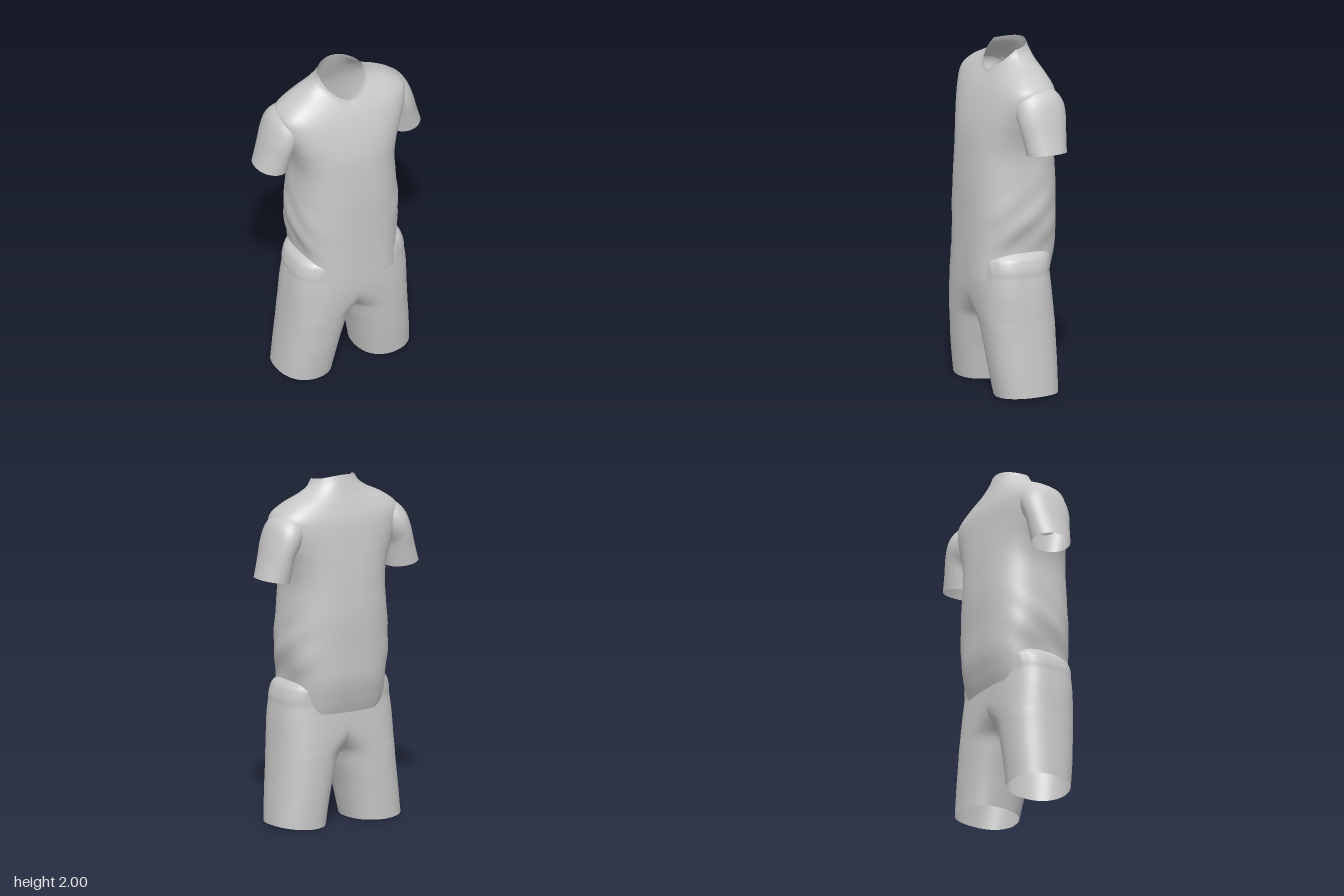
import * as THREE from 'three';

const cloth = new THREE.MeshStandardMaterial({ color: 0xc8c8c8, side: THREE.DoubleSide });
cloth.name = 'grey cloth';

// Smooth interpolation through rows of numbers, v from 0 to 1
function sampleRows(rows, v) {
  const f = v * (rows.length - 1);
  const i = Math.min(Math.floor(f), rows.length - 2);
  const t = f - i;
  const p1 = rows[i], p2 = rows[i + 1];
  const p0 = rows[i - 1] || p1, p3 = rows[i + 2] || p2;
  return p1.map((b, k) => {
    const a = p0[k], c = p2[k], d = p3[k];
    return b + 0.5 * t * (c - a + t * (2 * a - 5 * b + 4 * c - d + t * (3 * (b - c) + d - a)));
  });
}

// Signed power, for superellipse outlines
const spow = (x, p) => Math.sign(x) * Math.abs(x) ** p;

// Sheet of cloth from rings: u runs around, v runs upwards
function sheet(name, nu, nv, closed, mirror, point) {
  const cols = closed ? nu : nu + 1, pos = [], idx = [];
  for (let j = 0; j <= nv; j++) {
    for (let i = 0; i < cols; i++) {
      const [x, y, z] = point(i / nu, j / nv);
      pos.push(mirror ? -x : x, y, z);
    }
  }
  for (let j = 0; j < nv; j++) {
    for (let i = 0; i < nu; i++) {
      const a = j * cols + i, b = j * cols + (i + 1) % cols, c = a + cols, d = b + cols;
      if (mirror) idx.push(a, b, c, b, d, c);
      else idx.push(a, c, b, b, c, d);
    }
  }
  const g = new THREE.BufferGeometry();
  g.setAttribute('position', new THREE.Float32BufferAttribute(pos, 3));
  g.setIndex(idx);
  g.computeVertexNormals();
  const mesh = new THREE.Mesh(g, cloth);
  mesh.name = name;
  return mesh;
}

// half width, front z, back z, front y, side y, back y, squareness, V-neck amount
const torsoRows = [
  [0.28, 0.26, -0.20, 0.675, 0.66, 0.65, 3.2, 0],
  [0.285, 0.26, -0.225, 0.75, 0.75, 0.73, 3.1, 0],
  [0.292, 0.26, -0.25, 0.86, 0.86, 0.85, 2.9, 0],
  [0.318, 0.26, -0.255, 1.02, 1.02, 1.02, 2.6, 0],
  [0.308, 0.26, -0.26, 1.2, 1.2, 1.2, 2.5, 0],
  [0.295, 0.25, -0.25, 1.38, 1.38, 1.38, 2.6, 0],
  [0.315, 0.238, -0.24, 1.5, 1.5, 1.5, 2.6, 0],
  [0.35, 0.215, -0.228, 1.6, 1.6, 1.6, 2.7, 0],
  [0.385, 0.185, -0.215, 1.69, 1.7, 1.7, 2.8, 0],
  [0.387, 0.16, -0.2, 1.75, 1.785, 1.77, 2.8, 0.1],
  [0.31, 0.142, -0.175, 1.785, 1.85, 1.84, 2.7, 0.3],
  [0.21, 0.127, -0.152, 1.81, 1.90, 1.90, 2.4, 0.6],
  [0.155, 0.115, -0.132, 1.828, 1.94, 1.96, 2.1, 0.9],
  [0.135, 0.11, -0.12, 1.84, 1.975, 2.0, 2, 1],
];

function torsoPoint(u, v) {
  const [w, zf, zb, yf, ys, yb, n, vee] = sampleRows(torsoRows, v);
  const a = u * Math.PI * 2, c = Math.cos(a), s = Math.sin(a);
  const mid = (zf + zb) / 2, half = (zf - zb) / 2;
  const round = s * s, sharp = 0.7 * s + 0.3 * (1 - Math.abs(c));
  const k = s > 0 ? round + (sharp - round) * vee : round;
  const y = ys + ((s > 0 ? yf : yb) - ys) * k;
  const z = mid + half * spow(s, 2 / n);
  // soft slanting drape folds at the waist sides
  const fold = 0.005 * Math.exp(-(((y - 1.0) / 0.18) ** 2)) * Math.sin(32 * (y + 0.8 * z)) * Math.abs(c);
  return [(w + fold) * spow(c, 2 / n), y, z];
}

// inner x, inner y, outer x, outer y, front z, back z
const sleeveRows = [
  [0.335, 1.422, 0.52, 1.452, 0.065, -0.168],
  [0.325, 1.5, 0.487, 1.56, 0.08, -0.178],
  [0.315, 1.56, 0.459, 1.66, 0.095, -0.188],
  [0.29, 1.60, 0.425, 1.745, 0.1, -0.192],
  [0.27, 1.63, 0.375, 1.795, 0.095, -0.18],
  [0.25, 1.65, 0.31, 1.82, 0.075, -0.155],
];

function sleevePoint(u, v) {
  const [xi, yi, xo, yo, zf, zb] = sampleRows(sleeveRows, v);
  const a = u * Math.PI * 2, k = (1 + Math.cos(a)) / 2;
  return [xi + (xo - xi) * k, yi + (yo - yi) * k, (zf + zb) / 2 + (zf - zb) / 2 * spow(Math.sin(a), 0.9)];
}

// y, inner x, outer x, front z, back z, squareness; a negative inner x means the halves join
const shortsRows = [
  [0.0, 0.088, 0.41, 0.17, -0.19, 2.3],
  [0.10, 0.07, 0.402, 0.186, -0.192, 2.3],
  [0.20, 0.05, 0.393, 0.2, -0.194, 2.3],
  [0.30, 0.024, 0.384, 0.211, -0.195, 2.3],
  [0.39, 0.0, 0.377, 0.22, -0.195, 2.35],
  [0.44, -0.04, 0.373, 0.225, -0.195, 2.4],
  [0.51, -0.13, 0.368, 0.232, -0.195, 2.6],
  [0.60, -0.27, 0.36, 0.239, -0.193, 2.9],
  [0.70, -0.347, 0.347, 0.24, -0.19, 3],
  [0.78, -0.332, 0.332, 0.236, -0.195, 3],
  [0.815, -0.308, 0.308, 0.222, -0.195, 2.8],
  [0.84, -0.28, 0.28, 0.2, -0.185, 2.6],
];

function shortsPoint(u, v) {
  const [y, xi, xo, zf, zb, n] = sampleRows(shortsRows, v);
  const mid = Math.max(0, (xi + xo) / 2), half = (xo - xi) / 2;
  // stop the outline at the centre plane where both halves meet
  const end = Math.acos(-(Math.min(1, mid / half) ** (n / 2)));
  const a = (u * 2 - 1) * end, c = Math.cos(a), s = Math.sin(a);
  // gathers under the waistband
  const gather = 0.005 * Math.exp(-(((y - 0.77) / 0.05) ** 2)) * Math.sin(a * 22) * s * s;
  const x = Math.max(0, mid + half * spow(c, 2 / n));
  const z = (zf + zb) / 2 + ((zf - zb) / 2 + gather) * spow(s, 2 / n);
  return [x, y + 0.015 * Math.max(0, c) * (1 - v), z];
}

export function createModel() {
  const model = new THREE.Group();
  model.name = 'sportsKit';

  const shirt = new THREE.Group();
  shirt.name = 'shirt';
  shirt.add(sheet('shirtBody', 96, 110, true, false, torsoPoint));

  const shorts = new THREE.Group();
  shorts.name = 'shorts';

  for (const [side, mirror] of [['left', false], ['right', true]]) {
    shirt.add(sheet(side + 'Sleeve', 48, 30, true, mirror, sleevePoint));
    shorts.add(sheet(side + 'ShortsHalf', 72, 77, false, mirror, shortsPoint));
  }

  model.add(shirt, shorts);
  return model;
}
